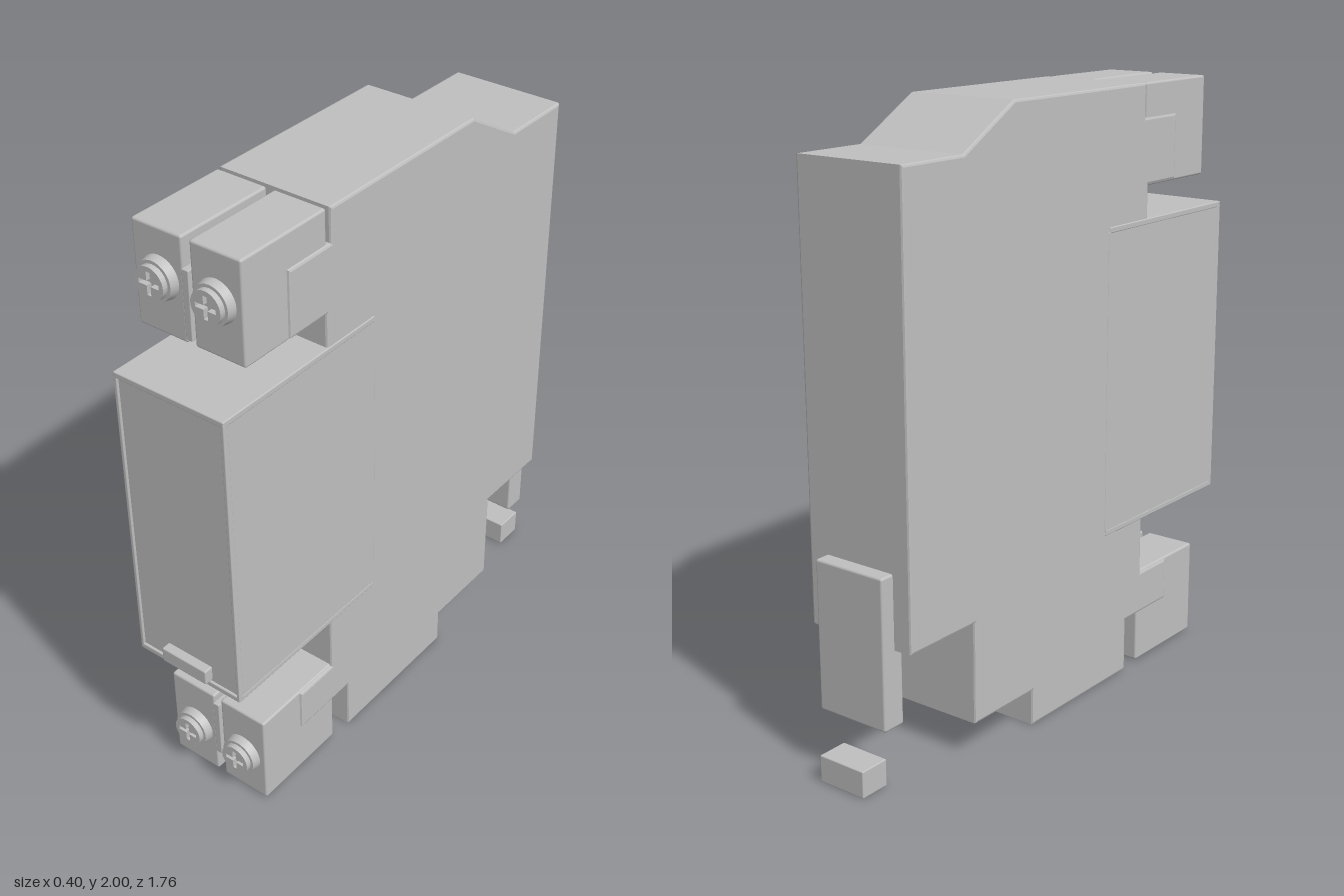
import * as THREE from 'three';
import { RoundedBoxGeometry } from 'three/addons/geometries/RoundedBoxGeometry.js';

export function createModel() {
  const model = new THREE.Group();
  model.name = 'railModule';
  const grey = new THREE.MeshStandardMaterial({ color: 0xbfbfbf });
  grey.name = 'plasticGrey';

  const add = (name, geometry, parent = model) => {
    const mesh = new THREE.Mesh(geometry, grey);
    mesh.name = name;
    parent.add(mesh);
    return mesh;
  };
  // Rounded block given by its limits on each axis
  const block = (name, [x0, x1], [y0, y1], [z0, z1], r = 0.008, parent = model) => {
    const mesh = add(name, new RoundedBoxGeometry(x1 - x0, y1 - y0, z1 - z0, 2, r), parent);
    mesh.position.set((x0 + x1) / 2, (y0 + y1) / 2, (z0 + z1) / 2);
    return mesh;
  };

  // Housing: side profile (z, y) extruded across the width
  const profile = [
    [0.39, 2], [-0.29, 2], [-0.52, 1.868], [-0.78, 1.868], [-0.78, 0.453],
    [-0.49, 0.453], [-0.49, 0.12], [-0.2, 0.12], [-0.2, 0], [0.325, 0],
    [0.325, 0.185], [0.57, 0.185], [0.57, 0.332], [0.412, 0.332],
    [0.412, 1.675], [0.57, 1.675], [0.57, 1.89], [0.39, 1.89],
  ].map(([z, y]) => new THREE.Vector2(z, y));
  const bevel = 0.008, width = 0.396;
  const housing = new THREE.ExtrudeGeometry(new THREE.Shape(profile), {
    depth: width - 2 * bevel, bevelEnabled: true, bevelSize: bevel,
    bevelThickness: bevel, bevelOffset: -bevel, bevelSegments: 2,
  });
  housing.translate(0, 0, -width / 2 + bevel).rotateY(-Math.PI / 2);
  add('housing', housing);

  // Front cover with a lip along the top and bottom, and a pull tab
  block('cover', [-0.2, 0.2], [0.545, 1.55], [0.19, 0.852], 0.004);
  for (const [name, y] of [['coverBottomLip', 0.54], ['coverTopLip', 1.555]]) {
    block(name, [-0.201, 0.201], [y - 0.01, y + 0.01], [0.195, 0.86], 0.004);
  }
  for (const s of [-1, 1]) {
    block('coverSideLip', [s * 0.195 - 0.006, s * 0.195 + 0.006], [0.54, 1.555], [0.84, 0.86], 0.003);
  }
  block('coverTab', [-0.088, 0.088], [0.555, 0.608], [0.84, 0.882], 0.005);

  // Cross-slotted screw face
  const face = new THREE.Shape().absarc(0, 0, 0.052, 0, Math.PI * 2);
  const a = 0.007, b = 0.036;
  face.holes.push(new THREE.Path([
    [a, a], [a, b], [-a, b], [-a, a], [-b, a], [-b, -a],
    [-a, -a], [-a, -b], [a, -b], [a, -a], [b, -a], [b, a],
  ].map(([x, y]) => new THREE.Vector2(x, y))));
  const faceGeometry = new THREE.ExtrudeGeometry(face, { depth: 0.018, bevelEnabled: false, curveSegments: 16 });
  const collarGeometry = new THREE.CylinderGeometry(0.062, 0.069, 0.035, 32).rotateX(Math.PI / 2);

  // Terminal pairs, each with a divider and two screws
  const pairs = [
    { name: 'upperTerminals', y: [1.67, 2], divider: [1.69, 1.91], screw: 1.848 },
    { name: 'lowerTerminals', y: [0.005, 0.338], divider: [0.1, 0.318], screw: 0.16 },
  ];
  for (const p of pairs) {
    const group = new THREE.Group();
    group.name = p.name;
    model.add(group);
    block('divider', [-0.012, 0.012], p.divider, [0.4, 0.757], 0.003, group);
    for (const s of [-1, 1]) {
      const x = s > 0 ? [0.012, 0.19] : [-0.193, -0.015];
      block('terminal', x, p.y, [0.4, 0.747], 0.008, group);
      add('screwCollar', collarGeometry, group).position.set(s * 0.1, p.screw, 0.757);
      add('screwFace', faceGeometry, group).position.set(s * 0.1, p.screw, 0.7745);
    }
  }

  // Rail clip and its separate foot at the back
  block('railClip', [-0.132, 0.13], [0.205, 0.69], [-0.828, -0.745]);
  block('clipFoot', [-0.088, 0.086], [0, 0.088], [-0.882, -0.778], 0.004);

  return model;
}
